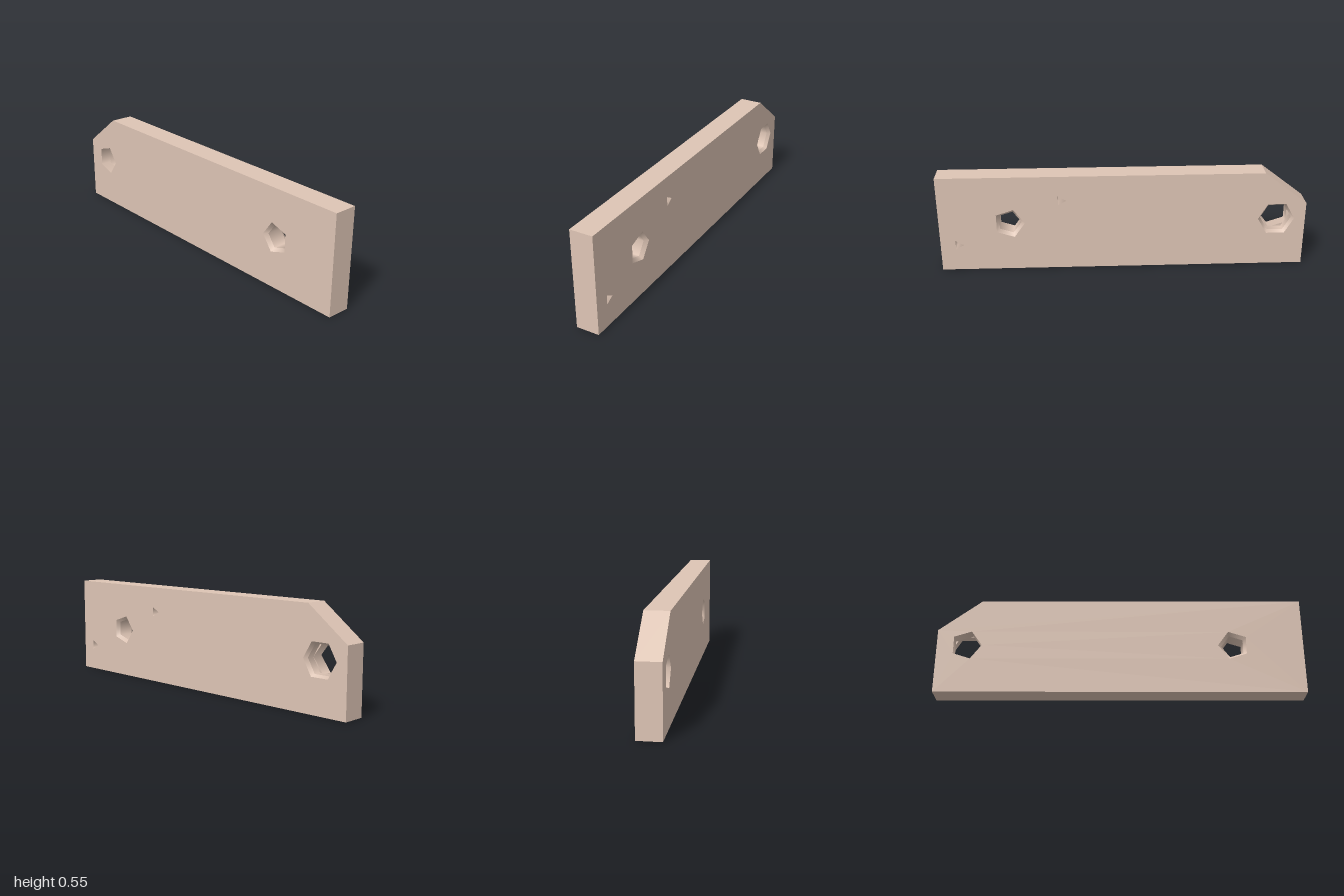
import * as THREE from 'three';

const HALF = 0.063;    // half the plate thickness
const SINK = 0.02;     // depth of the countersinks
const MID_Y = 0.275;   // height of the main holes
const LEFT = 0, RIGHT = Math.PI; // direction of a polygon's first corner
const TO_LEFT = LEFT, TO_RIGHT = RIGHT;

const OUTLINE = [[-1, 0], [1, 0], [1, 0.545], [-0.765, 0.545], [-1, 0.365]]
  .map(([x, y]) => new THREE.Vector2(x, y));

// Regular polygon, counter-clockwise, first corner in the direction "angle"
function polygon(x, y, r, sides, angle) {
  return Array.from({ length: sides }, (_, i) => {
    const a = angle + (i / sides) * Math.PI * 2;
    return new THREE.Vector2(x + r * Math.cos(a), y + r * Math.sin(a));
  });
}

// Overlap of two convex counter-clockwise polygons
function overlap(subject, clip) {
  let out = subject;
  clip.forEach((a, i) => {
    const edge = clip[(i + 1) % clip.length].clone().sub(a);
    const side = (p) => edge.cross(p.clone().sub(a));
    const next = [];
    out.forEach((p, j) => {
      const q = out[(j + 1) % out.length], sp = side(p), sq = side(q);
      if (sp >= 0) next.push(p);
      if (sp * sq < 0) next.push(p.clone().lerp(q, sp / (sp - sq)));
    });
    out = next;
  });
  return out;
}

// Flat face at depth z with cut-outs, facing front or back
function face(outline, holes, z, back = false) {
  const shape = new THREE.Shape(outline);
  shape.holes = holes.map((h) => new THREE.Path(h));
  const g = new THREE.ShapeGeometry(shape);
  if (back) {
    const index = g.index.array;
    for (let i = 0; i < index.length; i += 3) {
      [index[i], index[i + 1]] = [index[i + 1], index[i]];
    }
    g.computeVertexNormals();
  }
  return g.translate(0, 0, z);
}

// Straight outer edges of the plate
function rim(outline) {
  const pos = [];
  outline.forEach((a, i) => {
    const b = outline[(i + 1) % outline.length];
    pos.push(a.x, a.y, HALF, a.x, a.y, -HALF, b.x, b.y, -HALF);
    pos.push(a.x, a.y, HALF, b.x, b.y, -HALF, b.x, b.y, HALF);
  });
  const g = new THREE.BufferGeometry();
  g.setAttribute('position', new THREE.Float32BufferAttribute(pos, 3));
  g.computeVertexNormals();
  return g;
}

// Inner wall of a hole between two depths, straight or tapered
function bore(x, y, sides, angle, rFront, zFront, rBack, zBack) {
  const g = new THREE.CylinderGeometry(rFront, rBack, zFront - zBack, sides, 1, true, angle + Math.PI / 2);
  return g.rotateX(Math.PI / 2).translate(x, y, (zFront + zBack) / 2);
}

export function createModel() {
  const model = new THREE.Group();
  model.name = 'drilledPlate';
  const solid = new THREE.MeshStandardMaterial({ color: 0xdec5b5 });
  const inner = new THREE.MeshStandardMaterial({ color: 0xdec5b5, side: THREE.DoubleSide });
  const add = (name, geometry, material = solid) => {
    const mesh = new THREE.Mesh(geometry, material);
    mesh.name = name;
    model.add(mesh);
  };

  const endX = -0.84, pivotX = 0.62;
  const pilots = [[pivotX + 0.283, 0.15], [pivotX - 0.283, 0.405]];
  const endPentagon = polygon(endX, MID_Y, 0.085, 5, TO_LEFT);
  const pivotPentagon = polygon(pivotX, MID_Y, 0.085, 5, TO_RIGHT);

  // Plate
  add('frontFace', face(OUTLINE, [endPentagon, pivotPentagon], HALF));
  add('backFace', face(OUTLINE, [
    polygon(endX, MID_Y, 0.1, 6, TO_LEFT),
    pivotPentagon,
    ...pilots.map(([x, y]) => polygon(x, y, 0.03, 3, TO_RIGHT)),
  ], -HALF, true));
  add('plateEdges', rim(OUTLINE));

  // End hole: five-sided in front, six-sided and countersunk behind
  const hexagon = polygon(endX, MID_Y, 0.086, 6, TO_LEFT);
  add('endHoleFront', bore(endX, MID_Y, 5, TO_LEFT, 0.085, HALF, 0.085, 0), inner);
  add('endHoleStep', face(polygon(endX, MID_Y, 0.1, 6, TO_LEFT), [overlap(endPentagon, hexagon)], 0), inner);
  add('endHoleBack', bore(endX, MID_Y, 6, TO_LEFT, 0.086, 0, 0.086, SINK - HALF), inner);
  add('endHoleCountersink', bore(endX, MID_Y, 6, TO_LEFT, 0.086, SINK - HALF, 0.1, -HALF), inner);

  // Pivot hole, countersunk on both faces
  const s = HALF - SINK;
  add('pivotCountersinkFront', bore(pivotX, MID_Y, 5, TO_RIGHT, 0.085, HALF, 0.066, s), inner);
  add('pivotHole', bore(pivotX, MID_Y, 5, TO_RIGHT, 0.066, s, 0.066, -s), inner);
  add('pivotCountersinkBack', bore(pivotX, MID_Y, 5, TO_RIGHT, 0.066, -s, 0.085, -HALF), inner);

  // Blind pilot holes in the back
  for (const [x, y] of pilots) {
    add('pilotHole', bore(x, y, 3, TO_RIGHT, 0.03, 0, 0.03, -HALF), inner);
    add('pilotHoleBottom', face(polygon(x, y, 0.03, 3, TO_RIGHT), [], 0, true));
  }
  return model;
}
